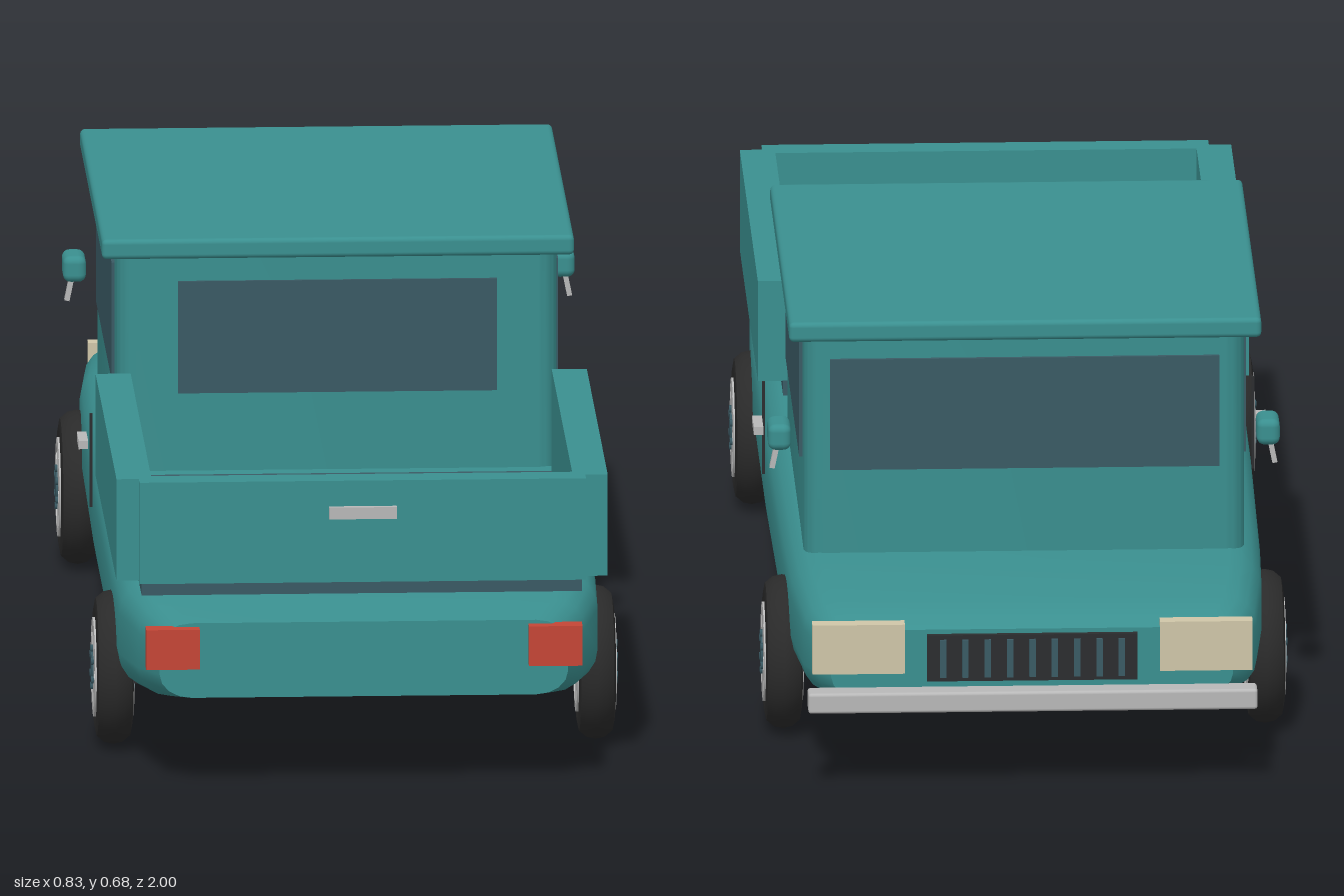
import * as THREE from 'three';
import { RoundedBoxGeometry } from 'three/addons/geometries/RoundedBoxGeometry.js';
import { toCreasedNormals } from 'three/addons/utils/BufferGeometryUtils.js';

const mat = (color, side = THREE.FrontSide) => new THREE.MeshStandardMaterial({ color, side });
const paint = mat(0x3a8f8f);
const glass = mat(0x3a5a64);
const dark = mat(0x2b2d2f);
const metal = mat(0xb8b8b8);
const red = mat(0xc44636);
const lamp = mat(0xcfc6a8);
const rubber = mat(0x2a2a2a);

export function createModel() {
  const model = new THREE.Group();

  const add = (name, geometry, material, parent = model) => {
    const mesh = new THREE.Mesh(geometry, material);
    mesh.name = name;
    parent.add(mesh);
    return mesh;
  };
  // Box given by its limits; r rounds the edges
  const box = (name, material, x0, x1, y0, y1, z0, z1, r = 0) => {
    const size = [x1 - x0, y1 - y0, z1 - z0];
    const g = r ? new RoundedBoxGeometry(...size, 3, r) : new THREE.BoxGeometry(...size);
    g.translate((x0 + x1) / 2, (y0 + y1) / 2, (z0 + z1) / 2);
    return add(name, g, material);
  };
  // Same box on both sides
  const pair = (name, material, x0, x1, ...rest) => {
    box(name + 'Left', material, x0, x1, ...rest);
    box(name + 'Right', material, -x1, -x0, ...rest);
  };

  // Lower body lofted through rounded sections: z, half width, bottom, top
  add('body', loft([
    [0.98, 0.32, 0.155, 0.275],
    [0.9, 0.35, 0.14, 0.288],
    [0.79, 0.375, 0.13, 0.3],
    [0.6, 0.38, 0.125, 0.305],
    [0, 0.38, 0.125, 0.305],
    [-0.5, 0.375, 0.125, 0.303],
    [-0.7, 0.37, 0.128, 0.297],
    [-0.88, 0.355, 0.136, 0.287],
    [-0.94, 0.335, 0.145, 0.275],
    [-0.965, 0.315, 0.152, 0.262],
  ]), paint);

  // Cab with rounded upright corners
  const cab = new THREE.ExtrudeGeometry(roundedRect(0.345, 0.357, 0.035), { depth: 0.36, bevelEnabled: false, curveSegments: 5 });
  cab.rotateX(-Math.PI / 2).translate(0, 0.295, -0.3);
  add('cab', toCreasedNormals(cab, 0.6), paint);
  box('roof', paint, -0.37, 0.37, 0.651, 0.683, -0.69, 0.085, 0.008);

  // Windows
  box('windscreen', glass, -0.305, 0.305, 0.435, 0.615, -0.663, -0.65);
  box('rearWindow', glass, -0.25, 0.25, 0.43, 0.61, 0.05, 0.061);
  pair('sideWindow', glass, 0.338, 0.35, 0.432, 0.62, -0.575, -0.03);

  // Doors and mirrors
  pair('doorSeam', dark, 0.381, 0.386, 0.235, 0.385, -0.003, 0.003);
  pair('doorHandle', metal, 0.387, 0.402, 0.323, 0.336, -0.085, -0.02);
  pair('mirror', paint, 0.365, 0.401, 0.46, 0.502, -0.642, -0.576, 0.012);
  for (const s of [-1, 1]) {
    const arm = add('mirrorArm', new THREE.BoxGeometry(0.008, 0.04, 0.012), metal);
    arm.position.set(s * 0.39, 0.445, -0.61);
    arm.rotation.z = s * 0.2;
  }

  // Load bed
  box('bedFloor', glass, -0.345, 0.345, 0.303, 0.332, 0.2, 0.905);
  pair('bedWall', paint, 0.33, 0.385, 0.33, 0.493, 0.19, 0.917);
  box('tailgate', paint, -0.35, 0.35, 0.33, 0.493, 0.897, 0.943);
  box('tailgateHandle', metal, -0.053, 0.053, 0.433, 0.452, 0.94, 0.952);
  pair('tailLight', red, 0.258, 0.342, 0.205, 0.269, 0.97, 1);

  // Nose: lamps, grille and bumper
  pair('headlight', lamp, 0.2, 0.345, 0.195, 0.275, -0.98, -0.955);
  box('grille', dark, -0.165, 0.165, 0.18, 0.255, -0.974, -0.955);
  for (let i = 0; i < 9; i++) {
    const x = -0.14 + i * 0.035;
    box('grilleSlat', glass, x - 0.005, x + 0.005, 0.187, 0.248, -0.979, -0.97);
  }
  box('bumper', metal, -0.352, 0.352, 0.136, 0.169, -1, -0.96, 0.005);

  // Wheels and their dark wells
  for (const z of [0.63, -0.61]) {
    pair('wheelWell', dark, 0.265, 0.365, 0.121, 0.18, z - 0.1, z + 0.1);
    for (const s of [-1, 1]) {
      const wheel = makeWheel(add);
      wheel.position.set(s * 0.378, 0.125, z);
      if (s < 0) wheel.rotation.y = Math.PI;
      model.add(wheel);
    }
  }
  return model;
}

// Wheel around the x axis, outer side towards +x
function makeWheel(add) {
  const wheel = new THREE.Group();
  wheel.name = 'wheel';
  const turn = (g) => g.rotateZ(-Math.PI / 2);
  const profile = [[0.076, -0.024], [0.092, -0.029], [0.108, -0.026], [0.118, -0.014], [0.121, 0],
    [0.118, 0.014], [0.108, 0.026], [0.092, 0.029], [0.076, 0.024], [0.076, -0.024]];
  const tyre = new THREE.LatheGeometry(profile.map(([r, y]) => new THREE.Vector2(r, y)), 32);
  add('tyre', turn(toCreasedNormals(tyre, 0.6)), rubber, wheel);
  add('rimDisc', turn(new THREE.CylinderGeometry(0.077, 0.077, 0.05, 32)), dark, wheel);

  const rim = [[0.065, -0.031], [0.078, -0.031], [0.078, 0.031], [0.065, 0.031], [0.065, -0.031]];
  add('rimRing', turn(toCreasedNormals(new THREE.LatheGeometry(rim.map(([r, y]) => new THREE.Vector2(r, y)), 32), 0.6)), metal, wheel);
  for (let i = 0; i < 6; i++) {
    const spoke = new THREE.BoxGeometry(0.062, 0.05, 0.03);
    spoke.translate(0, 0.045, 0).rotateX((i * Math.PI) / 3);
    add('spoke', spoke, metal, wheel);
    const bolt = turn(new THREE.CylinderGeometry(0.006, 0.006, 0.07, 6));
    bolt.translate(0, 0.03, 0).rotateX((i * Math.PI) / 3);
    add('bolt', bolt, glass, wheel);
  }
  add('hub', turn(new THREE.CylinderGeometry(0.024, 0.024, 0.068, 16)), glass, wheel);
  return wheel;
}

function roundedRect(w, h, r) {
  const s = new THREE.Shape();
  s.absarc(w - r, h - r, r, 0, Math.PI / 2);
  s.absarc(r - w, h - r, r, Math.PI / 2, Math.PI);
  s.absarc(r - w, r - h, r, Math.PI, Math.PI * 1.5);
  s.absarc(w - r, r - h, r, Math.PI * 1.5, Math.PI * 2);
  s.closePath();
  return s;
}

// Skin through rounded rectangles ordered from +z to -z, with end caps
function loft(sections) {
  const pos = [], index = [], steps = 4, n = 4 * (steps + 1);
  for (const [z, w, y0, y1] of sections) {
    const h = (y1 - y0) / 2, rx = 0.05, ry = h * 0.62;
    for (let c = 0; c < 4; c++) {
      const sx = c === 0 || c === 3 ? 1 : -1, sy = c < 2 ? 1 : -1;
      for (let k = 0; k <= steps; k++) {
        const a = (c + k / steps) * Math.PI / 2;
        pos.push(sx * (w - rx) + rx * Math.cos(a), (y0 + y1) / 2 + sy * (h - ry) + ry * Math.sin(a), z);
      }
    }
  }
  const last = sections.length - 1;
  for (let i = 0; i < last; i++) {
    for (let j = 0; j < n; j++) {
      const a = i * n + j, b = i * n + (j + 1) % n;
      index.push(a, a + n, b, b, a + n, b + n);
    }
  }
  for (let j = 1; j < n - 1; j++) {
    index.push(0, j, j + 1, last * n, last * n + j + 1, last * n + j);
  }
  const g = new THREE.BufferGeometry();
  g.setAttribute('position', new THREE.Float32BufferAttribute(pos, 3));
  g.setIndex(index);
  return toCreasedNormals(g, 0.7);
}
